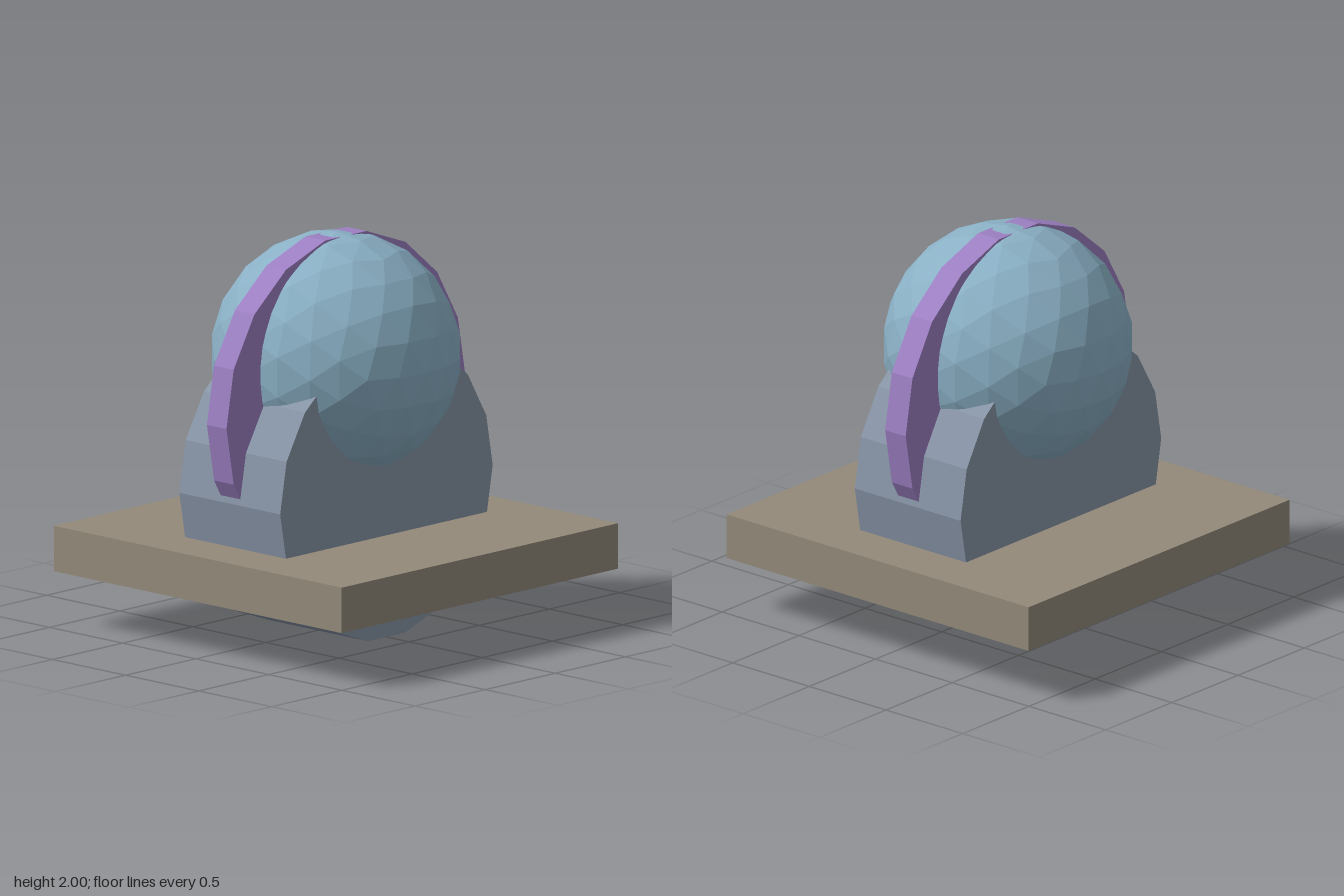
import * as THREE from 'three';

const material = (color) => new THREE.MeshStandardMaterial({ color, flatShading: true });

function addPart(group, name, geometry, color, y) {
  const mesh = new THREE.Mesh(geometry, material(color));
  mesh.name = name;
  mesh.position.y = y;
  group.add(mesh);
}

// Upright 18-sided disc with its axis along z and a corner on each side
function disc(radius, depth) {
  return new THREE.CylinderGeometry(radius, radius, depth, 18, 1, false, Math.PI / 2)
    .rotateX(Math.PI / 2);
}

// Icosphere halved twice, each step pushed back out to the sphere
function icosphere(radius) {
  const once = new THREE.IcosahedronGeometry(1, 1).attributes.position;
  const corners = Array.from({ length: once.count }, (_, i) => i);
  return new THREE.PolyhedronGeometry(Array.from(once.array), corners, radius, 1)
    .rotateY(Math.PI / 2);
}

export function createModel() {
  const group = new THREE.Group();
  group.name = 'ballOnStand';

  // Square slab that the cradle passes through
  addPart(group, 'base', new THREE.BoxGeometry(1.97, 0.23, 1.97), 0x938a7a, 0.4);
  // Thick disc holding the ball
  addPart(group, 'cradle', disc(0.757, 0.69), 0x8794a6, 0.746);
  // Thin disc arching over the ball
  addPart(group, 'fin', disc(0.85, 0.134), 0x9c7fc2, 1.15);
  // Faceted ball
  addPart(group, 'ball', icosphere(0.62), 0x8ab0c5, 1.38);

  return group;
}
